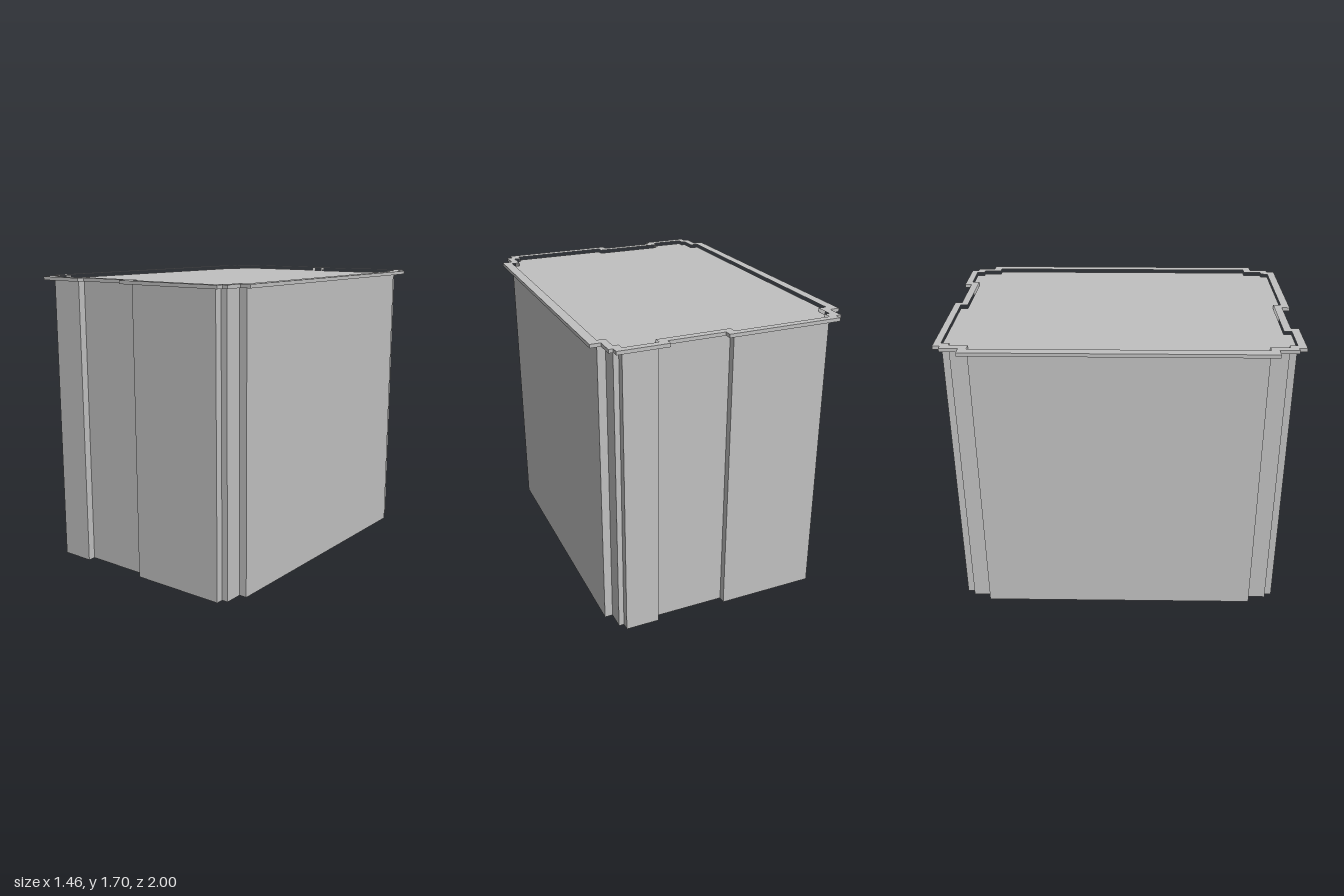
import * as THREE from 'three';

// Corner points [x, z] of the stepped body, clockwise from the back left
const BODY = [
  [-0.675, -0.81], [-0.628, -0.81], [-0.628, -0.915], [-0.597, -0.915], [-0.597, -0.96],
  [-0.02, -0.96], [-0.02, -0.918], [0.4, -0.918], [0.4, -0.96],
  [0.597, -0.96], [0.597, -0.915], [0.627, -0.915], [0.627, -0.81], [0.673, -0.81],
  [0.673, 0.803], [0.627, 0.803], [0.627, 0.91], [0.59, 0.91], [0.59, 0.953],
  [0.015, 0.953], [0.015, 0.91], [-0.403, 0.91], [-0.403, 0.953],
  [-0.603, 0.953], [-0.603, 0.91], [-0.628, 0.91], [-0.628, 0.803], [-0.675, 0.803],
];

// Outer edge of the rim, following the same steps
const RIM = [
  [-0.73, -0.857], [-0.673, -0.857], [-0.673, -0.96], [-0.64, -0.96], [-0.64, -1],
  [0.027, -1], [0.027, -0.96], [0.353, -0.96], [0.353, -1],
  [0.642, -1], [0.642, -0.96], [0.667, -0.96], [0.667, -0.857], [0.727, -0.857],
  [0.727, 0.848], [0.667, 0.848], [0.667, 0.955], [0.635, 0.955], [0.635, 1],
  [-0.033, 1], [-0.033, 0.955], [-0.36, 0.955], [-0.36, 1],
  [-0.645, 1], [-0.645, 0.955], [-0.673, 0.955], [-0.673, 0.848], [-0.73, 0.848],
];

const outline = (points) => points.map(([x, z]) => new THREE.Vector2(x, -z));

// Upright prism from y0 to y1, with an optional hole
function prism(points, hole, y0, y1) {
  const shape = new THREE.Shape(outline(points));
  if (hole) shape.holes.push(new THREE.Path(outline(hole)));
  const geometry = new THREE.ExtrudeGeometry(shape, { depth: y1 - y0, bevelEnabled: false });
  return geometry.rotateX(-Math.PI / 2).translate(0, y0, 0);
}

export function createModel() {
  const model = new THREE.Group();
  model.name = 'steppedBox';
  const grey = new THREE.MeshStandardMaterial({ color: 0xc0c0c0 });
  grey.name = 'light grey';

  const add = (name, geometry) => {
    const mesh = new THREE.Mesh(geometry, grey);
    mesh.name = name;
    model.add(mesh);
  };

  // Closed body, its top forming the recessed floor inside the rim
  add('body', prism(BODY, null, 0, 1.68));
  // Thin overhanging rim
  add('rim', prism(RIM, BODY, 1.68, 1.7));
  return model;
}
